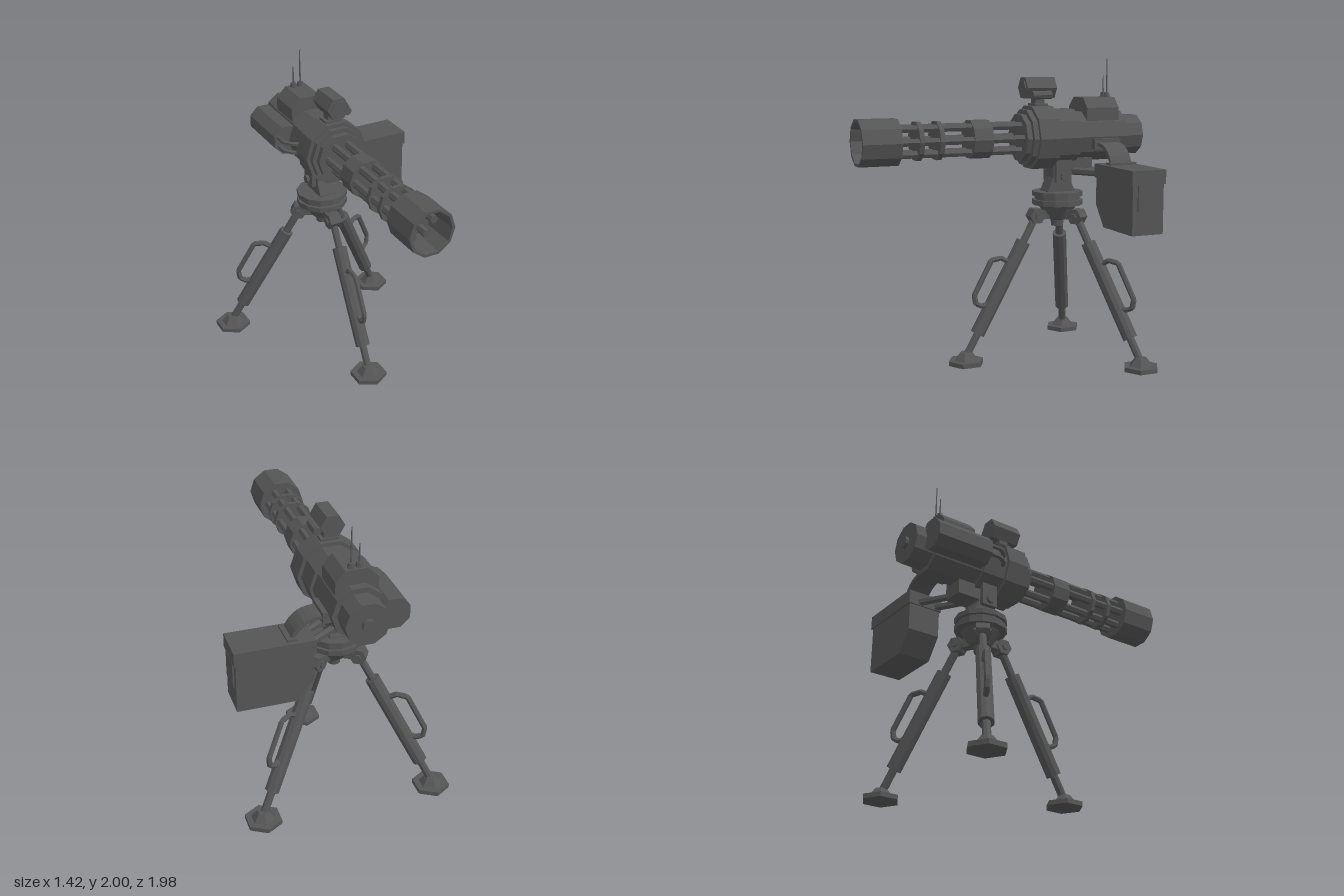
import * as THREE from 'three';

const metal = new THREE.MeshStandardMaterial({ color: 0x555555, flatShading: true, side: THREE.DoubleSide });
const AX = -0.032, AY = 1.49; // barrel axis
const BZ = -0.39;             // tripod axis

export function createModel() {
  const model = new THREE.Group();

  const add = (name, geo, x = 0, y = 0, z = 0, parent = model) => {
    const m = new THREE.Mesh(geo, metal);
    m.name = name;
    m.position.set(x, y, z);
    parent.add(m);
    return m;
  };
  // box given by its min and max corners
  const box = (name, x0, x1, y0, y1, z0, z1, parent) =>
    add(name, new THREE.BoxGeometry(x1 - x0, y1 - y0, z1 - z0), (x0 + x1) / 2, (y0 + y1) / 2, (z0 + z1) / 2, parent);
  // faceted cylinder along z, with a corner towards +x
  const along = (name, r, z0, z1, x = AX, y = AY, n = 10, turn = 0) =>
    add(name, new THREE.CylinderGeometry(r, r, z1 - z0, n).rotateY(Math.PI / 2 + turn).rotateX(Math.PI / 2), x, y, (z0 + z1) / 2);
  const upright = (name, rTop, rBottom, y0, y1, x, z, n, parent) =>
    add(name, new THREE.CylinderGeometry(rTop, rBottom, y1 - y0, n), x, (y0 + y1) / 2, z, parent);
  // cylinder along x
  const across = (name, r, length, x, y, z, n, parent) =>
    add(name, new THREE.CylinderGeometry(r, r, length, n).rotateZ(Math.PI / 2), x, y, z, parent);
  // straight rod between two points
  const rod = (name, r, a, b, n, parent) => {
    const m = add(name, new THREE.CylinderGeometry(r, r, a.distanceTo(b), n), 0, 0, 0, parent);
    m.position.copy(a).lerp(b, 0.5);
    m.quaternion.setFromUnitVectors(new THREE.Vector3(0, 1, 0), b.clone().sub(a).normalize());
    return m;
  };
  // bent bar through points, with angular corners
  const bentBar = (name, pts, r, parent) => {
    const path = new THREE.CurvePath();
    for (let i = 1; i < pts.length; i++) path.add(new THREE.LineCurve3(pts[i - 1], pts[i]));
    return add(name, new THREE.TubeGeometry(path, 36, r, 6), 0, 0, 0, parent);
  };
  // outline in x/y extruded from z0 to z1
  const slab = (name, pts, z0, z1) => {
    const shape = new THREE.Shape(pts.map(p => new THREE.Vector2(...p)));
    return add(name, new THREE.ExtrudeGeometry(shape, { depth: z1 - z0, bevelEnabled: false }), 0, 0, z0);
  };
  const V = (x, y, z) => new THREE.Vector3(x, y, z);

  // stepped body: radius, back, front
  [[0.16, -0.135, -0.1], [0.19, -0.17, -0.135], [0.215, -0.32, -0.17], [0.19, -0.48, -0.32],
    [0.17, -0.83, -0.48], [0.137, -0.965, -0.83], [0.04, -0.99, -0.965]]
    .forEach(([r, z0, z1]) => along('body', r, z0, z1));

  // barrel cluster and its clamps
  for (let i = 0; i < 6; i++) {
    const a = i * Math.PI / 3;
    along('barrel', 0.026, -0.11, 0.86, AX + 0.093 * Math.cos(a), AY + 0.093 * Math.sin(a), 6);
  }
  [[0.585, 0.615], [0.45, 0.48], [0.12, 0.25]].forEach(([z0, z1]) => along('barrelClamp', 0.128, z0, z1));

  // hollow muzzle shroud
  const shroud = [[0, 0.735], [0.153, 0.735], [0.153, 0.99], [0.135, 0.99], [0.125, 0.78], [0, 0.78]];
  add('muzzleShroud', new THREE.LatheGeometry(shroud.map(p => new THREE.Vector2(...p)), 10)
    .rotateY(Math.PI / 2).rotateX(Math.PI / 2), AX, AY, 0);

  // side motor with its loop bars
  along('motor', 0.103, -0.895, -0.5, -0.22, AY, 8, Math.PI / 8);
  for (const y of [1.46, 1.52])
    bentBar('motorBar', [V(-0.285, y, -0.51), V(-0.285, y, -0.42), V(-0.25, y, -0.37), V(-0.19, y, -0.34)], 0.015);

  // top housing with chamfered shoulders and two antennas
  slab('topHousing', [[-0.165, 1.58], [0.1, 1.58], [0.1, 1.68], [0.04, 1.745], [-0.1, 1.745], [-0.165, 1.68]], -0.775, -0.54);
  [[-0.005, 2.0], [-0.055, 1.89]].forEach(([x, top]) => {
    upright('antennaBase', 0.018, 0.025, 1.74, 1.775, x, -0.74, 6);
    upright('antenna', 0.003, 0.006, 1.77, top, x, -0.74, 6);
  });

  // sight
  along('sight', 0.078, -0.345, -0.135, AX, 1.813, 6);
  along('sightLens', 0.055, -0.14, -0.128, AX, 1.813, 6);
  along('sidePointer', 0.027, -0.3, -0.165, 0.05, 1.768, 8);
  box('sightPost', -0.068, 0.004, 1.68, 1.76, -0.275, -0.21);
  box('sightPlate', -0.09, 0.026, 1.68, 1.71, -0.29, -0.2);

  // feed block and curved belt
  box('feedBlock', 0.07, 0.165, 1.41, 1.48, -0.755, -0.565);
  const lane = new THREE.CatmullRomCurve3([V(0.12, 1.445, 0), V(0.2, 1.44, 0), V(0.265, 1.42, 0), V(0.32, 1.37, 0), V(0.348, 1.32, 0)]).getPoints(8);
  const edge = d => lane.map(p => [p.x + d * 0.6, p.y + d]);
  slab('feedBelt', [...edge(0.011), ...edge(-0.011).reverse()], -0.735, -0.585);
  box('feedCollar', 0.32, 0.38, 1.32, 1.34, -0.755, -0.565);

  // ammunition box
  slab('ammoBox', [[0.22, 1.25], [0.22, 1.055], [0.325, 0.918], [0.695, 0.918], [0.695, 1.25]], -0.77, -0.55);
  box('ammoLid', 0.21, 0.705, 1.235, 1.325, -0.78, -0.54);
  box('ammoPanel', 0.69, 0.706, 1.07, 1.245, -0.735, -0.585);
  for (const z of [-0.58, -0.7])
    rod('boxArm', 0.025, V(0.02, 1.262, z + 0.13), V(0.23, 1.262, z), 6);
  box('armPlate', -0.09, 0.06, 1.235, 1.35, -0.6, -0.44);

  // yoke: flared plates holding a pivot pin
  const yoke = new THREE.Shape([[-0.098, 1.11], [0.098, 1.11], [0.098, 1.13], [0.058, 1.22], [0.058, 1.37], [-0.058, 1.37], [-0.058, 1.22], [-0.098, 1.13]]
    .map(p => new THREE.Vector2(...p)));
  add('yoke', new THREE.ExtrudeGeometry(yoke, { depth: 0.12, bevelEnabled: false }).rotateY(Math.PI / 2), AX - 0.06, 0, BZ);
  for (const s of [-1, 1]) box('yokeCheek', AX + s * 0.085 - 0.015, AX + s * 0.085 + 0.015, 1.19, 1.36, BZ - 0.055, BZ + 0.055);
  across('pivotPin', 0.028, 0.24, AX, 1.23, BZ, 8);

  // turntable and hub
  const hub = [[0, 1.125], [0.17, 1.125], [0.17, 1.093], [0.15, 1.093], [0.15, 1.07], [0.17, 1.07], [0.17, 1.035],
    [0.13, 1.03], [0.07, 0.94], [0.045, 0.93], [0.04, 0.89], [0, 0.89]];
  add('turntable', new THREE.LatheGeometry(hub.map(p => new THREE.Vector2(...p)), 12), AX, 0, BZ);

  // three legs, each built outward along its own +z
  for (let i = 0; i < 3; i++) {
    const leg = new THREE.Group();
    leg.name = 'leg';
    leg.position.set(AX, 0, BZ);
    leg.rotation.y = i * Math.PI * 2 / 3;
    model.add(leg);
    const top = V(0, 0.965, 0.155), foot = V(0, 0.05, 0.663);
    const at = t => top.clone().lerp(foot, t);
    across('hinge', 0.055, 0.085, 0, 0.965, 0.16, 6, leg);
    across('hingeBolt', 0.022, 0.11, 0, 0.965, 0.16, 6, leg);
    box('hingeArm', -0.03, 0.03, 0.94, 1.0, 0.04, 0.15, leg);
    rod('legRod', 0.026, top, foot, 8, leg);
    rod('legSleeve', 0.048, at(0.185), at(0.84), 10, leg);
    bentBar('legHandle', [[0.34, 0.655], [0.41, 0.695], [0.48, 0.685], [0.602, 0.46], [0.592, 0.4], [0.545, 0.38], [0.49, 0.4]]
      .map(([z, y]) => V(0, y, z)), 0.018, leg);
    upright('footPad', 0.122, 0.122, 0, 0.03, 0, 0.663, 6, leg);
    upright('footCone', 0.04, 0.08, 0.03, 0.082, 0, 0.663, 6, leg);
  }
  return model;
}
